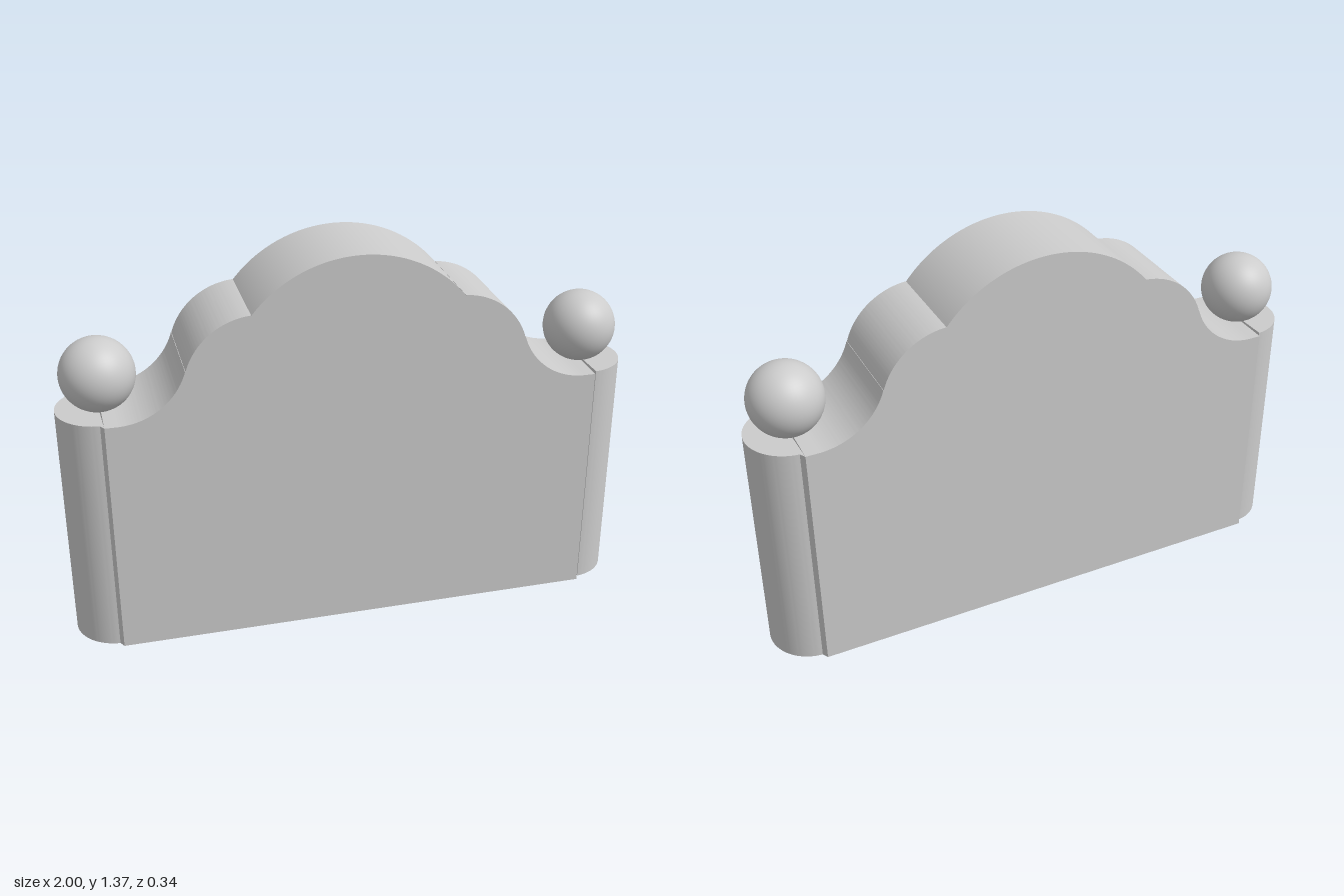
import * as THREE from 'three';
import { toCreasedNormals } from 'three/addons/utils/BufferGeometryUtils.js';

const SHOULDER = 0.853; // height of the end posts
const POST_X = 0.85;
const HALF_DEPTH = 0.17;

const material = new THREE.MeshStandardMaterial({ color: 0xcccccc });

function extrude(shape, depth) {
  const geometry = new THREE.ExtrudeGeometry(shape, { depth, bevelEnabled: false, curveSegments: 32 });
  return toCreasedNormals(geometry, 0.5);
}

function addMesh(parent, name, geometry) {
  const mesh = new THREE.Mesh(geometry, material);
  mesh.name = name;
  parent.add(mesh);
  return mesh;
}

// Front outline: S-curved shoulders rising to a central arch
function panelShape() {
  const arch = { y: 0.902, r: 0.463 };
  const bulge = { x: 0.345, y: 0.95, r: 0.245 };
  const cove = { x: 0.81, y: 1.093, r: 0.24 };
  const join = Math.atan2(cove.y - bulge.y, cove.x - bulge.x);
  const bulgeEnd = Math.acos((0.36 - bulge.x) / bulge.r);
  const archStart = Math.acos(0.36 / arch.r);

  const s = new THREE.Shape();
  s.moveTo(-POST_X, 0);
  s.lineTo(POST_X, 0);
  s.lineTo(POST_X, SHOULDER);
  s.absarc(cove.x, cove.y, cove.r, -Math.PI / 2, join - Math.PI, true);
  s.absarc(bulge.x, bulge.y, bulge.r, join, bulgeEnd, false);
  s.absarc(0, arch.y, arch.r, archStart, Math.PI - archStart, false);
  s.absarc(-bulge.x, bulge.y, bulge.r, Math.PI - bulgeEnd, Math.PI - join, false);
  s.absarc(-cove.x, cove.y, cove.r, -join, -Math.PI / 2, true);
  s.lineTo(-POST_X, SHOULDER);
  s.closePath();
  return s;
}

// Plan outline: rounded end with a small chamfer back to the panel faces
function postShape() {
  const radius = 0.15;
  const a = Math.acos(0.012 / radius);
  const s = new THREE.Shape();
  s.moveTo(POST_X, -HALF_DEPTH);
  s.absarc(POST_X, 0, radius, -a, a, false);
  s.lineTo(POST_X, HALF_DEPTH);
  s.closePath();
  return s;
}

export function createModel() {
  const model = new THREE.Group();
  model.name = 'archedHeadstone';

  const panel = addMesh(model, 'archedPanel', extrude(panelShape(), HALF_DEPTH * 2));
  panel.position.z = -HALF_DEPTH;

  // Rounded end posts, each topped by a ball
  const postGeometry = extrude(postShape(), SHOULDER).rotateX(-Math.PI / 2);
  const ballGeometry = new THREE.SphereGeometry(0.127, 48, 32);
  for (const [side, turn] of [['left', 0], ['right', Math.PI]]) {
    const end = new THREE.Group();
    end.name = side + 'End';
    end.rotation.y = turn;
    addMesh(end, side + 'Post', postGeometry);
    addMesh(end, side + 'Ball', ballGeometry).position.set(POST_X, 0.972, 0);
    model.add(end);
  }
  return model;
}
